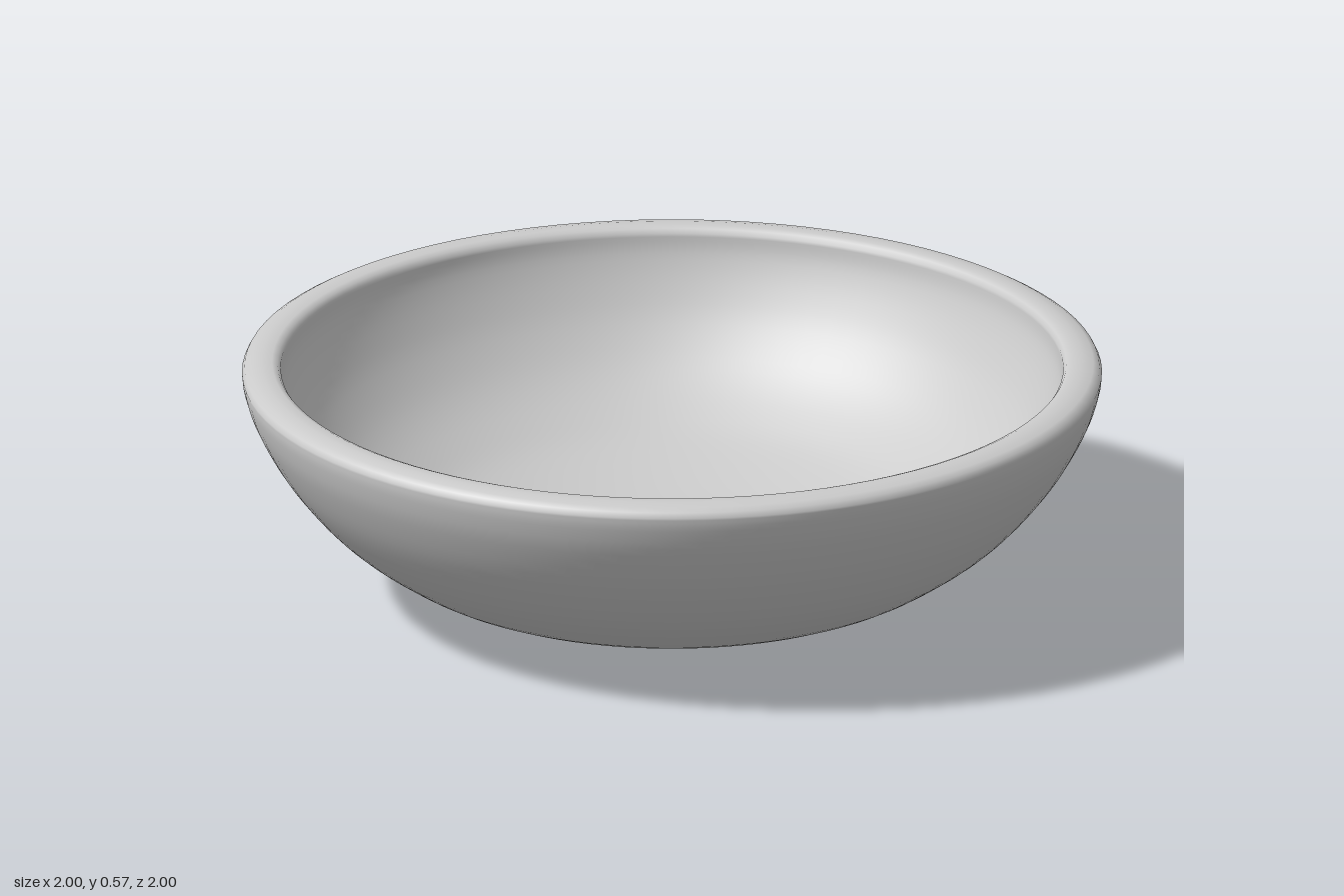
import * as THREE from 'three';

const toPoints = (list) => list.map(([r, y]) => new THREE.Vector2(r, y));

export function createModel() {
  const group = new THREE.Group();
  group.name = 'bowl';
  const material = new THREE.MeshStandardMaterial({ color: 0xcccccc });

  // Outer wall, from the centre of the base up to the rim
  const outer = new THREE.SplineCurve(toPoints([
    [0, 0], [0.2, 0.003], [0.4, 0.022], [0.6, 0.078], [0.72, 0.145],
    [0.82, 0.227], [0.91, 0.335], [0.97, 0.44], [0.995, 0.51], [1, 0.545],
  ])).getPoints(36);

  // Softly rounded lip
  const lip = toPoints([[0.994, 0.557], [0.98, 0.565], [0.955, 0.57], [0.93, 0.57], [0.917, 0.565]]);

  // Inner wall, following the outer one down to the floor
  const inner = new THREE.SplineCurve(toPoints([
    [0.91, 0.555], [0.903, 0.51], [0.875, 0.44], [0.83, 0.36], [0.76, 0.275],
    [0.67, 0.205], [0.56, 0.148], [0.38, 0.1], [0.2, 0.083], [0, 0.08],
  ])).getPoints(36);

  const profile = [...outer, ...lip, ...inner];
  profile[0].x = 0;
  profile[profile.length - 1].x = 0;

  const shell = new THREE.Mesh(new THREE.LatheGeometry(profile, 96), material);
  shell.name = 'bowlShell';
  group.add(shell);
  return group;
}
